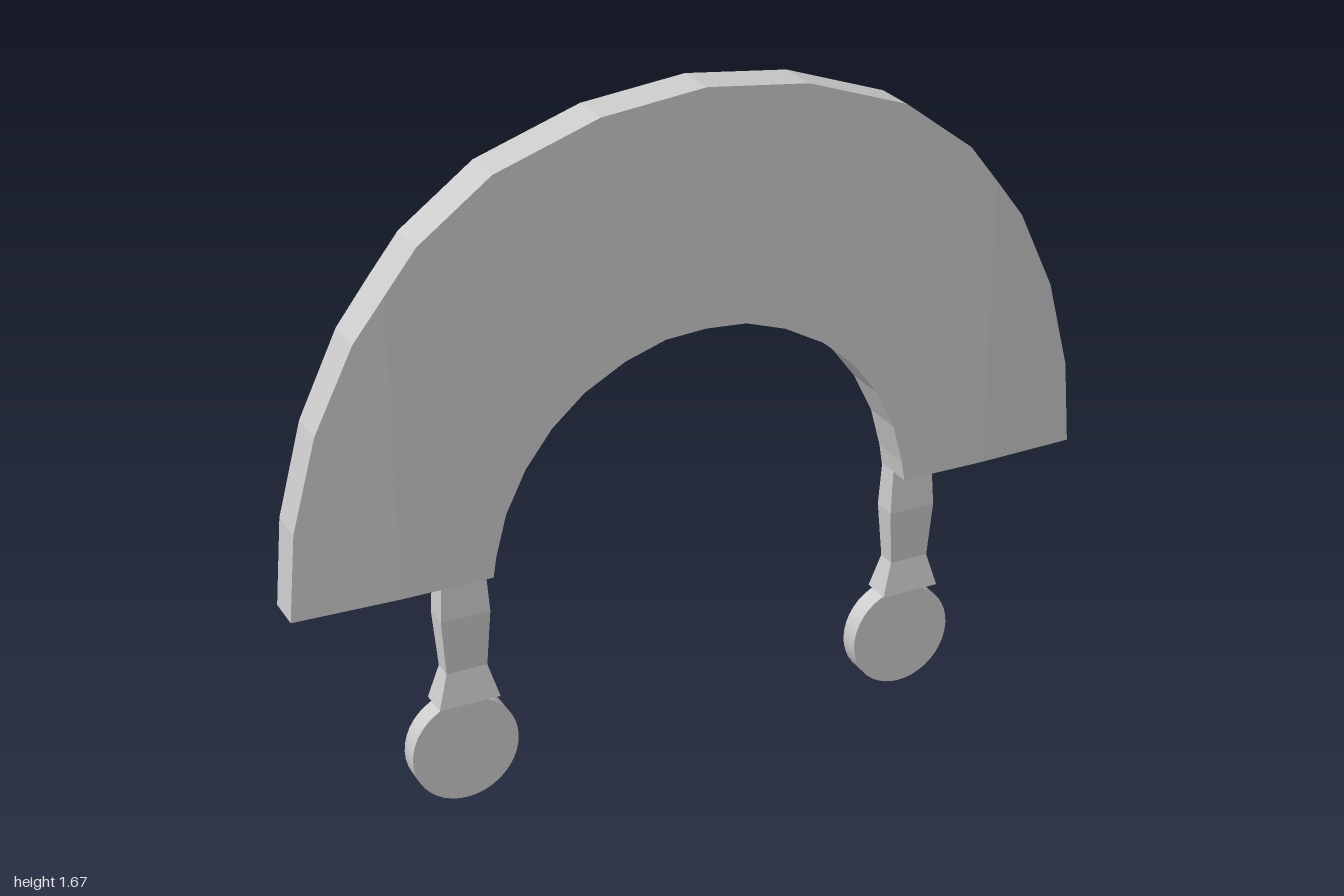
import * as THREE from 'three';

const stone = new THREE.MeshStandardMaterial({ color: 0xcacaca });
stone.name = 'light grey stone';

const BASE = 0.61; // height of the arch's lower edge
const BEND = 0.75; // beyond this x the arch thins towards its ends
const V = (x, y) => new THREE.Vector2(x, y);
const flip = pts => pts.map(p => V(-p.x, p.y));
const both = list => [...list, ...list.map(flip)];
const rad = THREE.MathUtils.degToRad;
const mirrorArc = half => [...half, ...flip(half.slice(0, -1)).reverse()];
const points = list => list.map(([x, y]) => V(x, y));

// Outlines run from the +x foot over the crown to the -x foot
const outerEnd = points([[1, BASE], [0.98, 0.82], [0.92, 1.04], [0.825, 1.235], [BEND, 1.332]]);
const outerCrown = points([[BEND, 1.332], [0.675, 1.427], [0.5, 1.557], [0.25, 1.643], [0, 1.672]]);
const outer = mirrorArc([...outerEnd, ...outerCrown.slice(1)]);
const inner = mirrorArc(points([[0.53, BASE], [0.522, 0.66], [0.495, 0.76], [0.445, 0.86], [0.38, 0.945], [0.3, 1.015], [0.2, 1.07], [0.1, 1.103], [0, 1.11]]));

function ellipse(rx, ry) {
  const pts = [];
  for (let i = 0; i <= 40; i++) {
    const a = Math.PI * i / 40;
    pts.push(V(rx * Math.cos(a), BASE + ry * Math.sin(a)));
  }
  return pts;
}

// Extrudes a closed outline with holes between two depths
function plate(name, outline, holes, z0, z1) {
  const shape = new THREE.Shape(outline);
  shape.holes = holes.map(h => new THREE.Path(h));
  const geo = new THREE.ExtrudeGeometry(shape, { depth: z1 - z0, bevelEnabled: false, steps: 1 });
  geo.translate(0, 0, z0);
  const mesh = new THREE.Mesh(geo, stone);
  mesh.name = name;
  return mesh;
}

// Thins a plate slightly towards the outer ends of the arch
function taperEnds(mesh) {
  const p = mesh.geometry.attributes.position;
  for (let i = 0; i < p.count; i++) {
    const t = Math.max(0, (Math.abs(p.getX(i)) - BEND) / (1 - BEND));
    p.setZ(i, p.getZ(i) * (1 - 0.15 * t));
  }
  mesh.geometry.computeVertexNormals();
  return mesh;
}

// Closed outline of a spiral groove, narrowing at both ends
function spiral(cx, cy, r0, r1, start, turns, halfWidth) {
  const left = [], right = [], n = 32;
  for (let i = 0; i <= n; i++) {
    const u = i / n, a = start - u * turns * Math.PI * 2;
    const r = r0 + (r1 - r0) * u;
    const w = halfWidth * (0.15 + 0.85 * Math.sin(Math.PI * (0.05 + u * 0.8)));
    left.push(V(cx + (r + w) * Math.cos(a), cy + (r + w) * Math.sin(a)));
    right.push(V(cx + (r - w) * Math.cos(a), cy + (r - w) * Math.sin(a)));
  }
  return [...left, ...right.reverse()];
}

// Almond outline lying along the arch, optionally bowed outwards
function almond(cx, cy, length, width, angle, bow = 0) {
  const pts = [], n = 10, c = Math.cos(angle), s = Math.sin(angle);
  const add = (t, side) => {
    const a = t * length, b = (side * width + bow) * (1 - t * t);
    pts.push(V(cx + b * c - a * s, cy + b * s + a * c));
  };
  for (let i = 0; i < n; i++) add(-1 + 2 * i / n, -1);
  for (let i = 0; i < n; i++) add(1 - 2 * i / n, 1);
  return pts;
}

function createArch() {
  const arch = new THREE.Group();
  arch.name = 'arch';
  const FLOOR = -0.025, FRONT = 0.065, BACK = -0.041;
  const band = (name, a, b, holes) =>
    arch.add(taperEnds(plate(name, [...a, ...[...b].reverse()], holes, BACK, FLOOR)));

  // Slab: a flat middle and two tapering ends
  const crown = [V(BEND, BASE), ...mirrorArc(outerCrown), V(-BEND, BASE), ...[...inner].reverse()];
  arch.add(plate('archSlab', crown, [], FLOOR, FRONT));
  both([[V(BEND, BASE), ...outerEnd]]).forEach(end => arch.add(taperEnds(plate('archEnd', end, [], FLOOR, FRONT))));

  // Outer band with a row of carved curls; the last two of each side form an S
  const curls = [[83, 1, 120], [72, 1, 120], [61, 1, 120], [49, 1, 120], [36, 1, 120], [23.5, 1, 120], [12.3, 0.68, -70], [4.2, 0.62, 110]]
    .map(([deg, k, turn]) => {
      const a = rad(deg);
      return spiral(0.905 * Math.cos(a), BASE + 0.015 + 0.94 * Math.sin(a), 0.088 * k, 0.02 * k, a + rad(turn), 1.3, 0.0165 * k);
    });
  band('outerBand', outer, ellipse(0.812, 0.842), both(curls));

  // Plain middle band, with a groove on either side
  band('middleBand', ellipse(0.788, 0.818), ellipse(0.657, 0.687), []);

  // Inner band with two leaves at the crown and ringed almonds below
  const leaf = almond(0.2, BASE + 0.537, 0.112, 0.038, rad(70), 0.012);
  const eyes = [[0.4, 0.41, 0.055, 0.04, 45], [0.51, 0.255, 0.048, 0.035, 27], [0.577, 0.09, 0.038, 0.027, 9]];
  const sockets = eyes.map(([x, y, l, w, d]) => almond(x, BASE + y, l, w, rad(d)));
  band('innerBand', ellipse(0.633, 0.663), inner, both([leaf, ...sockets]));
  const centres = eyes.map(([x, y, l, w, d]) => almond(x, BASE + y, l * 0.5, w * 0.45, rad(d)));
  both(centres).forEach(p => arch.add(plate('almondCentre', p, [], BACK + 0.004, FLOOR)));
  return arch;
}

// Four-sided hanging strip that flares at its foot
function createStrip() {
  const rows = [[0.275, 0.075, -0.047, 0.026], [0.36, 0.05, -0.033, 0.014], [0.5, 0.06, -0.041, 0.02], [0.615, 0.053, -0.038, 0.015]];
  let geo = new THREE.BoxGeometry(2, 3, 1, 1, 3, 1);
  const p = geo.attributes.position;
  for (let i = 0; i < p.count; i++) {
    const [y, w, back, front] = rows[Math.round(p.getY(i) + 1.5)];
    p.setXYZ(i, p.getX(i) * w, y, p.getZ(i) > 0 ? front : back);
  }
  geo = geo.toNonIndexed();
  geo.computeVertexNormals();
  const mesh = new THREE.Mesh(geo, stone);
  mesh.name = 'strip';
  return mesh;
}

// Round pendant with a ring and a spiral cut into its back
function createDisc() {
  const disc = new THREE.Group();
  disc.name = 'pendantDisc';
  const R = 0.132, FRONT = -0.012, FLOOR = -0.05, BACK = -0.065;
  const body = new THREE.Mesh(new THREE.CylinderGeometry(R, R, FRONT - FLOOR, 40).rotateX(Math.PI / 2), stone);
  body.position.z = (FLOOR + FRONT) / 2;
  body.name = 'discBody';
  const circle = r => Array.from({ length: 40 }, (_, i) => V(r * Math.sin(i * Math.PI / 20), r * Math.cos(i * Math.PI / 20)));
  disc.add(body,
    plate('discRim', circle(R), [circle(0.108)], BACK, FLOOR),
    plate('discFace', circle(0.09), [spiral(0, 0, 0.066, 0.02, 0.5, 1.25, 0.015)], BACK, FLOOR));
  return disc;
}

export function createModel() {
  const model = new THREE.Group();
  model.name = 'archedHeaddress';
  model.add(createArch());
  for (const side of [1, -1]) {
    const pendant = new THREE.Group();
    pendant.name = side > 0 ? 'leftPendant' : 'rightPendant';
    const disc = createDisc();
    disc.position.y = 0.132;
    pendant.add(createStrip(), disc);
    pendant.position.x = side * 0.583;
    model.add(pendant);
  }
  return model;
}
